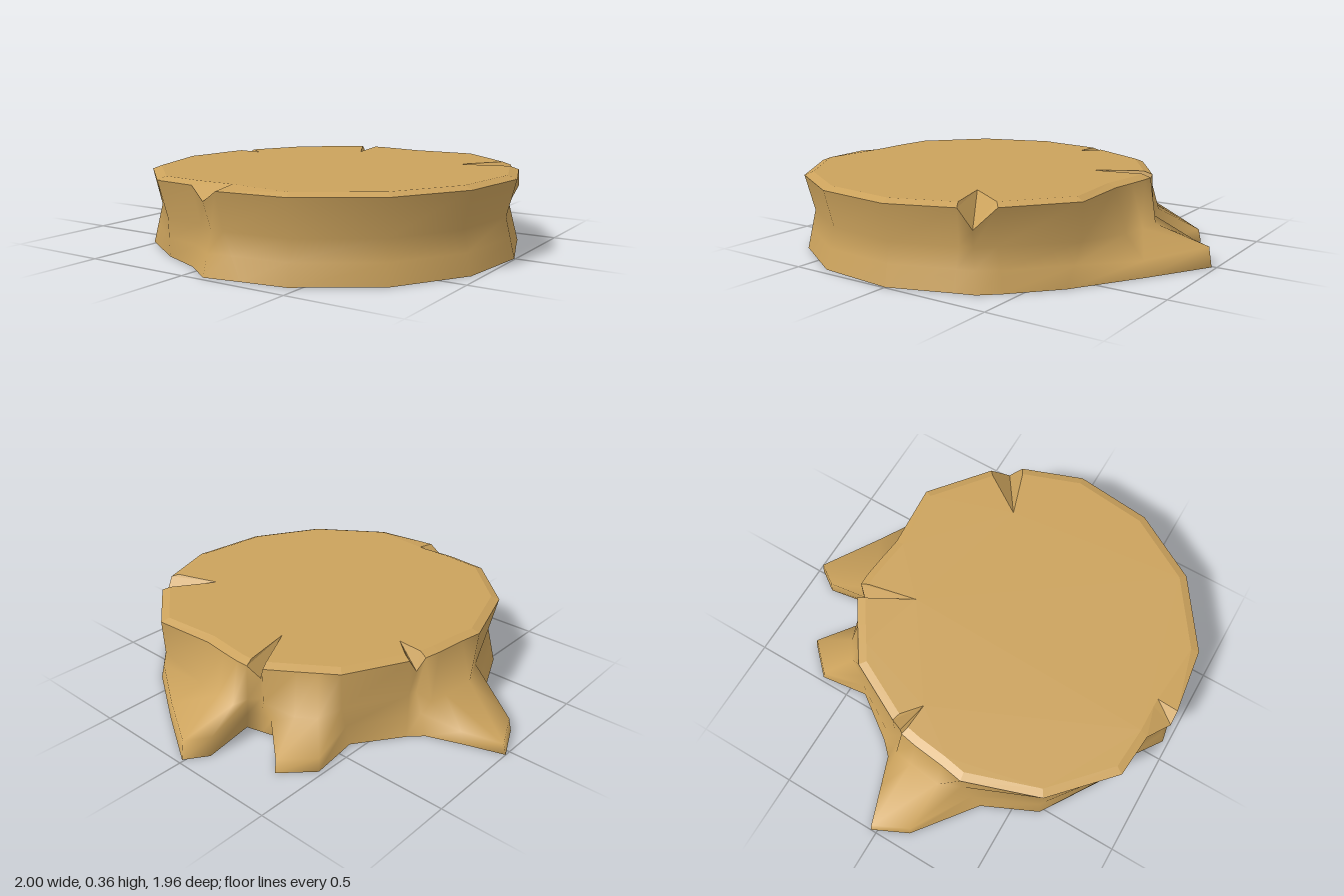
import * as THREE from 'three';

// Ground outline, one entry per column: x, z and, on root tips, the tip height
const FEET = [
  [0.995, 0], [0.96, 0.37], [0.77, 0.69], [0.45, 0.91], [0.25, 0.945], [0.09, 0.975], [-0.06, 0.87],
  [-0.26, 0.79], [-0.52, 0.62], [-0.64, 0.36], [-0.92, 0.14, 0.06], [-1, -0.03, 0.05],
  [-0.82, -0.09, 0.06], [-0.66, -0.15], [-0.6, -0.21], [-0.45, -0.42], [-0.48, -0.65, 0.06],
  [-0.35, -0.78, 0.06], [-0.18, -0.59], [-0.1, -0.61], [-0.02, -0.63], [-0.06, -0.88, 0.09],
  [0.01, -0.98, 0.09], [0.3, -0.81, 0.07], [0.61, -0.615], [0.8, -0.44], [0.87, -0.36], [0.9, -0.27],
];

// Top rim, same columns: x, z and, on split columns, the rim height and inner tip
const RIM = [
  [0.995, 0], [0.955, 0.37], [0.77, 0.69], [0.45, 0.91], [0.14, 0.95, 0.345, 0.14, 0.847],
  [0.08, 0.955, 0.3, 0.1, 0.845], [-0.04, 0.885], [-0.25, 0.865], [-0.52, 0.615], [-0.64, 0.26],
  [-0.622, 0.15], [-0.605, 0], [-0.59, -0.08], [-0.565, -0.11, 0.28, -0.43, -0.06],
  [-0.555, -0.15], [-0.41, -0.43], [-0.33, -0.485], [-0.25, -0.54], [-0.13, -0.62],
  [-0.1, -0.605, 0.28, 0, -0.37], [-0.06, -0.645], [0, -0.645], [0.1, -0.635], [0.22, -0.62],
  [0.53, -0.64], [0.8, -0.42], [0.87, -0.35, 0.26, 0.64, -0.2], [0.89, -0.29],
];

const CENTRE = [0.17, 0.14], RIM_Y = 0.345, TOP_Y = 0.36;

// Joins equal closed rings, listed from the ground upwards
function loft(rings) {
  const n = rings[0].length, index = [];
  for (let r = 0; r < rings.length - 1; r++) {
    for (let i = 0; i < n; i++) {
      const a = r * n + i, b = r * n + (i + 1) % n;
      index.push(a, a + n, b, b, a + n, b + n);
    }
  }
  const geo = new THREE.BufferGeometry();
  geo.setAttribute('position', new THREE.Float32BufferAttribute(rings.flat(2), 3));
  geo.setIndex(index);
  geo.computeVertexNormals();
  return geo;
}

export function createModel() {
  const group = new THREE.Group();
  group.name = 'treeStump';
  const wood = new THREE.MeshStandardMaterial({ color: 0xcba25c, side: THREE.DoubleSide });
  wood.name = 'wood';
  const add = (name, geo) => {
    const mesh = new THREE.Mesh(geo, wood);
    mesh.name = name;
    group.add(mesh);
  };

  // Cross-sections: ground, root tops, waist, rim and cut edge
  const ground = [], shoulder = [], waist = [], rim = [], cut = [];
  RIM.forEach(([x, z, splitY, tipX, tipZ], i) => {
    const [fx, fz, rootY] = FEET[i];
    const dx = x - CENTRE[0], dz = z - CENTRE[1], len = Math.hypot(dx, dz);
    // the waist is pinched in front, straight at the back and swells above the roots
    const backSide = THREE.MathUtils.clamp((-0.6 * dx - 0.8 * dz) / len * 1.5, 0, 1);
    const k = rootY ? 1.07 : 0.95 + 0.06 * backSide;
    const w = [CENTRE[0] + dx * k, rootY ? 0.15 : 0.18, CENTRE[1] + dz * k];
    ground.push([fx, 0, fz]);
    shoulder.push(rootY ? [fx * 0.985, rootY, fz * 0.985] : [(fx + w[0]) / 2, 0.09, (fz + w[2]) / 2]);
    waist.push(w);
    rim.push([x, splitY ?? RIM_Y, z]);
    const inset = 1 - 0.04 / len;
    cut.push([tipX ?? CENTRE[0] + dx * inset, TOP_Y, tipZ ?? CENTRE[1] + dz * inset]);
  });

  // Bark wall with roots, open underneath
  add('barkAndRoots', loft([ground, shoulder, waist, rim]));

  // Bevelled rim with the splits running inwards
  const bevel = loft([rim, cut]).toNonIndexed();
  bevel.computeVertexNormals();
  add('bevelledRim', bevel);

  // Flat cut top
  const outline = new THREE.Shape(cut.map(([x, , z]) => new THREE.Vector2(x, -z)));
  add('cutTop', new THREE.ShapeGeometry(outline).rotateX(-Math.PI / 2).translate(0, TOP_Y, 0));

  return group;
}
